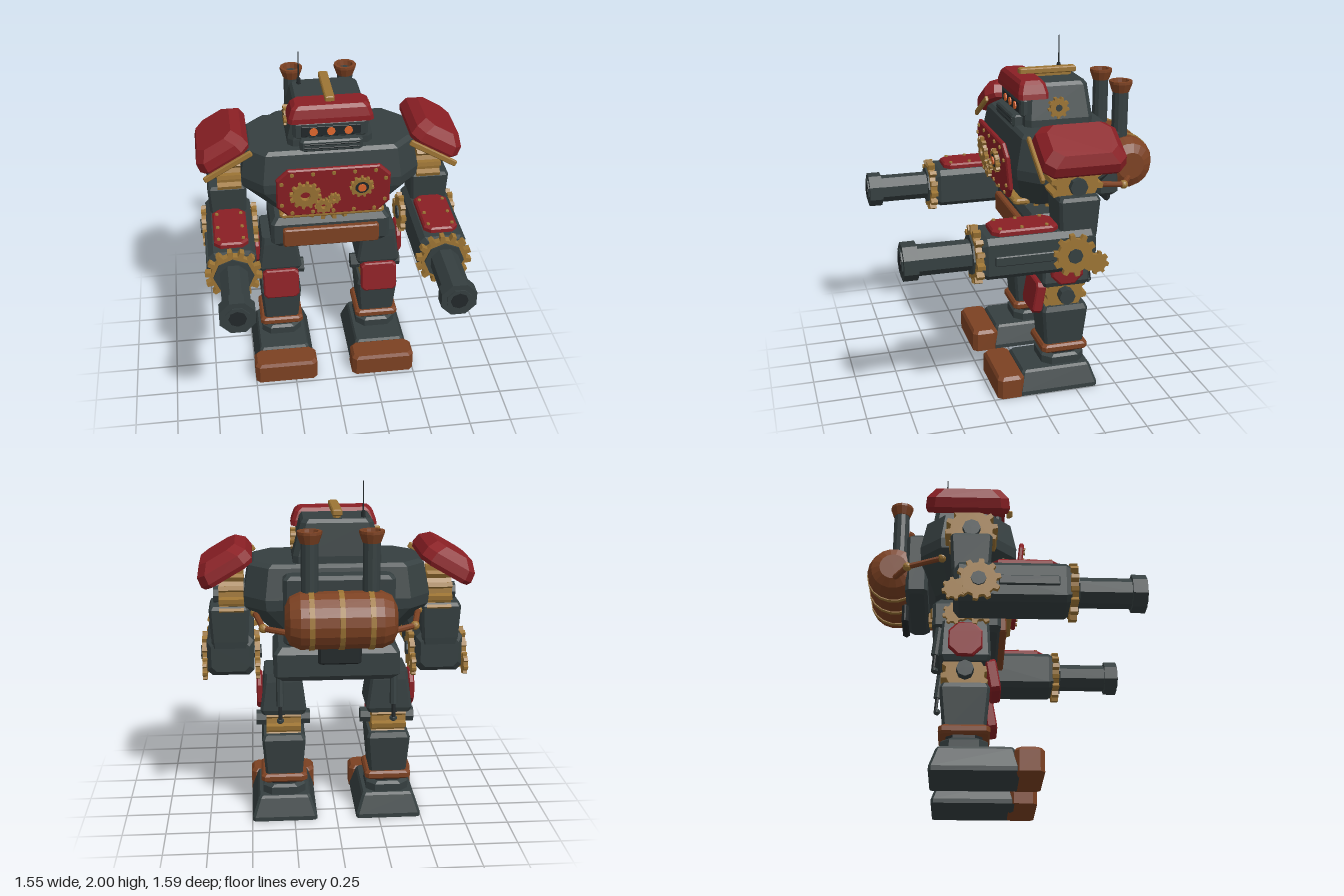
import * as THREE from 'three';

const mat = (name, color) => {
  const m = new THREE.MeshStandardMaterial({ color });
  m.name = name;
  return m;
};

// Flat facets on any geometry
function flat(geo) {
  const g = geo.index ? geo.toNonIndexed() : geo;
  g.computeVertexNormals();
  return g;
}

// Stack of corner-cut rectangles: [y, halfX, halfZ, cornerCut, centreX, centreZ]
function loft(sections) {
  const rings = sections.map(([y, a, b, c = 0.01, cx = 0, cz = 0]) =>
    [[a, -b + c], [a, b - c], [a - c, b], [-a + c, b], [-a, b - c], [-a, -b + c], [-a + c, -b], [a - c, -b]]
      .map(([x, z]) => [x + cx, y, z + cz]));
  const pos = [];
  const tri = (...p) => p.forEach(v => pos.push(...v));
  const last = rings.length - 1;
  for (let i = 0; i < 8; i++) {
    const j = (i + 1) % 8;
    for (let k = 0; k < last; k++) {
      const lo = rings[k], hi = rings[k + 1];
      tri(lo[i], hi[i], lo[j]);
      tri(lo[j], hi[i], hi[j]);
    }
    if (i > 0 && i < 7) {
      tri(rings[0][0], rings[0][i], rings[0][j]);
      tri(rings[last][0], rings[last][j], rings[last][i]);
    }
  }
  const g = new THREE.BufferGeometry();
  g.setAttribute('position', new THREE.Float32BufferAttribute(pos, 3));
  return flat(g);
}

// Bevelled block centred on the origin
function block(w, h, d, b = 0.01, c = 0.015) {
  const x = w / 2, y = h / 2, z = d / 2;
  return loft([[-y, x - b, z - b, c], [-y + b, x, z, c], [y - b, x, z, c], [y, x - b, z - b, c]]);
}
// Upright plate with cut corners, facing +z
const plate = (w, h, t, c) => block(w, t, h, Math.min(0.008, t / 3), c).rotateX(Math.PI / 2);

const cyl = (r0, r1, h, n = 8) => flat(new THREE.CylinderGeometry(r0, r1, h, n));
const cylX = (r, h, n = 8) => cyl(r, r, h, n).rotateZ(Math.PI / 2);
const cylZ = (r, h, n = 8) => cyl(r, r, h, n).rotateX(Math.PI / 2);

// Toothed wheel facing +z
function gear(r, teeth, depth, hole = 0) {
  const s = new THREE.Shape(), step = Math.PI * 2 / teeth, root = r * 0.8;
  for (let i = 0; i < teeth; i++) {
    [[0, root], [0.45, root], [0.56, r], [0.89, r]].forEach(([f, q], k) => {
      const a = (i + f) * step;
      s[i + k ? 'lineTo' : 'moveTo'](Math.cos(a) * q, Math.sin(a) * q);
    });
  }
  s.closePath();
  if (hole) s.holes.push(new THREE.Path().absarc(0, 0, hole, 0, Math.PI * 2, true));
  const g = new THREE.ExtrudeGeometry(s, { depth, bevelEnabled: false, curveSegments: 8 });
  return flat(g.translate(0, 0, -depth / 2));
}
const gearX = (...a) => gear(...a).rotateY(Math.PI / 2);

export function createModel() {
  const model = new THREE.Group();
  model.name = 'steamRobot';
  const iron = mat('iron', 0x353f40), black = mat('blackIron', 0x22282a);
  const red = mat('redPaint', 0x8a1f24), brass = mat('brass', 0x9c7434);
  const copper = mat('copper', 0x7c4122), glow = mat('glow', 0xe0662c);

  const group = (name, parent = model) => {
    const g = new THREE.Group();
    g.name = name;
    parent.add(g);
    return g;
  };
  const add = (parent, name, geo, m, x = 0, y = 0, z = 0, rx = 0, ry = 0, rz = 0) => {
    const mesh = new THREE.Mesh(geo, m);
    mesh.name = name;
    mesh.position.set(x, y, z);
    mesh.rotation.set(rx, ry, rz);
    parent.add(mesh);
    return mesh;
  };
  const rod = (parent, name, m, a, b, r, n = 8) => {
    const p = new THREE.Vector3(...a), q = new THREE.Vector3(...b);
    const mesh = add(parent, name, cyl(r, r, p.distanceTo(q), n), m);
    mesh.position.copy(p).lerp(q, 0.5);
    mesh.quaternion.setFromUnitVectors(new THREE.Vector3(0, 1, 0), q.sub(p).normalize());
  };

  // Torso, waist and pelvis
  const body = group('body');
  add(body, 'torso', loft([[1.13, 0.33, 0.2, 0.08, 0, -0.18], [1.31, 0.515, 0.275, 0.12, 0, -0.19],
    [1.37, 0.52, 0.278, 0.12, 0, -0.19], [1.54, 0.49, 0.245, 0.11, 0, -0.19], [1.56, 0.46, 0.225, 0.1, 0, -0.19]]), iron);
  add(body, 'waistTrim', block(0.62, 0.035, 0.1), brass, 0, 1.145, 0.03);
  add(body, 'waistGear', gear(0.225, 20, 0.06).rotateX(Math.PI / 2), brass, 0, 1.1, -0.2);
  add(body, 'pelvis', loft([[0.87, 0.33, 0.175, 0.02], [0.9, 0.36, 0.195, 0.02], [1.03, 0.36, 0.195, 0.02],
    [1.07, 0.33, 0.17, 0.02]]), iron, 0, 0, -0.195);
  add(body, 'pelvisPanel', plate(0.58, 0.12, 0.05, 0.01), copper, 0, 0.953, 0.01);

  // Chest plate with clockwork
  const chest = group('chestPlate', body);
  chest.position.set(0, 1.328, 0.112);
  chest.rotation.x = 0.1;
  add(chest, 'chestArmor', plate(0.66, 0.325, 0.03, 0.065), red);
  [[-0.165, -0.005, 0.092, 12, 0.03], [-0.06, -0.083, 0.052, 9, 0.016], [0.003, -0.04, 0.036, 8, 0.012], [0.16, 0.037, 0.07, 11, 0.04]]
    .forEach(([x, y, r, n, h], i) => add(chest, 'chestGear', gear(r, n, 0.024, h), brass, x, y, 0.028 + (i % 2) * 0.006));
  add(chest, 'gaugeRing', cylZ(0.042, 0.03, 12), black, 0.16, 0.037, 0.03);
  add(chest, 'gaugeLight', cylZ(0.024, 0.008, 12), glow, 0.16, 0.037, 0.049);
  for (const x of [-0.24, -0.12, 0, 0.12, 0.24]) for (const y of [-0.135, 0.135])
    add(chest, 'rivet', cylZ(0.012, 0.014, 6), brass, x, y, 0.018);
  for (const x of [-0.3, 0.3]) for (const y of [-0.075, 0.075])
    add(chest, 'rivet', cylZ(0.012, 0.014, 6), brass, x, y, 0.018);

  // Head
  const head = group('head');
  add(head, 'skull', loft([[1.55, 0.245, 0.2, 0.03, 0, -0.21], [1.6, 0.245, 0.2, 0.03, 0, -0.21],
    [1.78, 0.2, 0.18, 0.03, 0, -0.21], [1.8, 0.185, 0.165, 0.03, 0, -0.21]]), iron);
  add(head, 'visor', block(0.43, 0.1, 0.05), iron, 0, 1.665, -0.015);
  add(head, 'visorSlot', block(0.34, 0.06, 0.006, 0.002, 0.002), black, 0, 1.66, 0.011);
  for (const x of [-0.1, 0, 0.1]) add(head, 'eye', cylZ(0.024, 0.009, 12), glow, x, 1.66, 0.017);
  add(head, 'jaw', block(0.36, 0.07, 0.07), iron, 0, 1.585, 0.018);
  for (const y of [1.575, 1.598]) add(head, 'jawSlat', block(0.32, 0.008, 0.008, 0.002, 0.002), black, 0, y, 0.054);
  add(head, 'brow', loft([[1.72, 0.245, 0.088, 0.02], [1.75, 0.24, 0.088, 0.02], [1.8, 0.222, 0.075, 0.02],
    [1.82, 0.2, 0.06, 0.02]]), red, 0, 0, -0.058);
  add(head, 'crest', block(0.055, 0.035, 0.34, 0.006, 0.006), brass, 0, 1.832, -0.205);
  add(head, 'crestFoot', block(0.04, 0.04, 0.26), brass, 0, 1.805, -0.22);
  for (const s of [-1, 1]) {
    add(head, 'earGear', gearX(0.062, 9, 0.03, 0.02), brass, s * 0.237, 1.665, -0.2);
    add(head, 'earBolt', cylX(0.026, 0.05), iron, s * 0.225, 1.665, -0.2);
  }
  add(head, 'antennaBase', cyl(0.012, 0.016, 0.05, 6), black, -0.147, 1.81, -0.325);
  add(head, 'antenna', cyl(0.003, 0.005, 0.2, 6), black, -0.147, 1.9, -0.325);

  // Backpack boiler with stacks
  const pack = group('backpack');
  add(pack, 'packBlock', block(0.61, 0.39, 0.13, 0.02, 0.02), iron, 0, 1.325, -0.49);
  add(pack, 'lowerVent', block(0.24, 0.12, 0.04), black, 0, 1.09, -0.56);
  const profile = [[0, -0.3], [0.08, -0.3], [0.13, -0.275], [0.156, -0.22], [0.156, 0.22], [0.13, 0.275], [0.08, 0.3], [0, 0.3]]
    .map(p => new THREE.Vector2(...p));
  add(pack, 'boiler', flat(new THREE.LatheGeometry(profile, 18).rotateZ(Math.PI / 2)), copper, 0, 1.3, -0.63);
  for (const x of [-0.16, 0, 0.16]) add(pack, 'boilerBand', cylX(0.162, 0.028, 18), brass, x, 1.3, -0.63);
  const rim = [[0.036, -0.04], [0.05, -0.04], [0.068, 0.01], [0.068, 0.025], [0.048, 0.025], [0.036, -0.04]]
    .map(p => new THREE.Vector2(...p));
  for (const s of [-1, 1]) {
    add(pack, 'smokestack', cyl(0.047, 0.047, 0.36, 12), iron, s * 0.165, 1.57, -0.6);
    add(pack, 'stackRim', flat(new THREE.LatheGeometry(rim, 12)), copper, s * 0.165, 1.755, -0.6);
    const a = [s * 0.27, 1.23, -0.63], b = [s * 0.415, 1.235, -0.54], c = [s * 0.46, 1.27, -0.34];
    rod(pack, 'steamPipe', copper, a, b, 0.017);
    rod(pack, 'steamPipe', copper, b, c, 0.017);
    for (const p of [b, c]) add(pack, 'pipeJoint', flat(new THREE.IcosahedronGeometry(0.026, 1)), brass, ...p);
  }

  for (const s of [-1, 1]) {
    const side = s > 0 ? 'left' : 'right';

    // Arm
    const arm = group(side + 'Arm'), ax = s * 0.605;
    const pauldron = group('pauldron', arm);
    pauldron.position.set(s * 0.6, 1.495, -0.197);
    pauldron.rotation.z = -s * 0.53;
    add(pauldron, 'pauldronShell', loft([[-0.005, 0.15, 0.225, 0.05], [0.02, 0.162, 0.235, 0.05], [0.075, 0.155, 0.228, 0.05],
      [0.125, 0.115, 0.18, 0.05]]), red);
    add(pauldron, 'pauldronTrim', block(0.32, 0.035, 0.022, 0.005, 0.005), brass, 0, -0.012, 0.237);
    add(arm, 'shoulderAxle', cylX(0.07, 0.22), iron, s * 0.52, 1.36, -0.175);
    add(arm, 'shoulderGear', gearX(0.148, 12, 0.14), brass, s * 0.59, 1.35, -0.175);
    add(arm, 'shoulderBolt', cylX(0.05, 0.07), iron, s * 0.66, 1.34, -0.175);
    add(arm, 'upperArm', loft([[1.04, 0.1, 0.1, 0.015], [1.08, 0.105, 0.105, 0.015], [1.27, 0.115, 0.117, 0.015],
      [1.29, 0.105, 0.107, 0.015]]), iron, ax, 0, -0.175);
    add(arm, 'forearm', loft([[-0.27, 0.11, 0.09, 0.03], [-0.24, 0.135, 0.118, 0.03], [0.34, 0.135, 0.118, 0.03],
      [0.37, 0.12, 0.105, 0.03]]).rotateX(Math.PI / 2), iron, ax, 0.99, 0);
    add(arm, 'forearmSideRail', block(0.03, 0.055, 0.33, 0.005, 0.005), iron, s * 0.74, 0.985, 0.14);
    const guard = loft([[0, 0.098, 0.185, 0.035], [0.022, 0.098, 0.185, 0.035], [0.032, 0.088, 0.175, 0.035]]);
    add(arm, 'forearmGuard', guard, red, ax, 1.108, 0.12);
    for (const x of [-0.07, 0.07]) for (const z of [0, 0.14, 0.26])
      add(arm, 'rivet', cyl(0.01, 0.012, 0.012, 6), brass, ax + x, 1.143, z);
    for (const x of [0.45, 0.752]) {
      add(arm, 'elbowGear', gearX(0.122, 10, 0.03), brass, s * x, 0.98, -0.135);
      add(arm, 'elbowPinion', gearX(0.066, 8, 0.025), brass, s * x, 0.922, -0.265);
      add(arm, 'elbowBolt', cylX(0.042, 0.05), iron, s * x, 0.98, -0.135);
    }
    add(arm, 'wristGear', gear(0.162, 14, 0.042), brass, ax, 0.985, 0.384);
    add(arm, 'wristCollar', cylZ(0.115, 0.02), iron, ax, 0.985, 0.405);
    add(arm, 'barrel', cylZ(0.085, 0.36).rotateZ(Math.PI / 8), iron, ax, 0.985, 0.56);
    add(arm, 'muzzle', cylZ(0.106, 0.08).rotateZ(Math.PI / 8), iron, ax, 0.985, 0.745);
    add(arm, 'muzzleLip', cylZ(0.072, 0.02).rotateZ(Math.PI / 8), iron, ax, 0.985, 0.783);
    add(arm, 'bore', cylZ(0.05, 0.004), black, ax, 0.985, 0.793);

    // Leg
    const leg = group(side + 'Leg'), lx = s * 0.307;
    const part = (name, m, secs, z = -0.2) => add(leg, name, loft(secs), m, lx, 0, z);
    part('thigh', iron, [[0.65, 0.12, 0.13, 0.015], [0.68, 0.133, 0.142, 0.015], [0.85, 0.11, 0.135, 0.015], [0.9, 0.105, 0.13, 0.015]]);
    add(leg, 'hipPlate', plate(0.19, 0.2, 0.035, 0.05), red, s * 0.442, 0.77, -0.2, 0, s * Math.PI / 2);
    add(leg, 'kneeGear', gearX(0.135, 10, 0.2), brass, lx, 0.59, -0.2);
    add(leg, 'kneeBolt', cylX(0.048, 0.315), iron, lx, 0.59, -0.2);
    add(leg, 'kneePlate', plate(0.22, 0.19, 0.06, 0.02), red, lx, 0.576, -0.045, -0.17);
    part('shin', iron, [[0.25, 0.107, 0.115, 0.015], [0.49, 0.127, 0.138, 0.015], [0.52, 0.115, 0.125, 0.015]]);
    add(leg, 'ankleBand', block(0.27, 0.05, 0.28, 0.012, 0.02), copper, lx, 0.25, -0.2);
    part('ankleCore', black, [[0.12, 0.1, 0.1, 0.04], [0.235, 0.1, 0.1, 0.04]]);
    part('ankle', iron, [[0.13, 0.125, 0.13, 0.05], [0.19, 0.125, 0.13, 0.05], [0.205, 0.11, 0.115, 0.05]]);
    part('foot', iron, [[0, 0.19, 0.24, 0.015, 0, 0.055], [0.025, 0.19, 0.24, 0.015, 0, 0.055],
      [0.13, 0.155, 0.21, 0.015, 0, 0.06], [0.145, 0.145, 0.2, 0.015, 0, 0.06]]);
    part('toeCap', copper, [[0, 0.195, 0.08, 0.025], [0.115, 0.195, 0.08, 0.025], [0.135, 0.18, 0.068, 0.025]], 0.145);

    // Rear leg piston
    const px = lx + s * 0.02;
    rod(leg, 'pistonSleeve', iron, [px, 0.9, -0.35], [px, 0.72, -0.37], 0.022);
    rod(leg, 'pistonRod', black, [px, 0.72, -0.37], [px, 0.63, -0.378], 0.011);
    add(leg, 'pistonFoot', block(0.04, 0.035, 0.04), iron, px, 0.63, -0.37);
  }
  return model;
}
